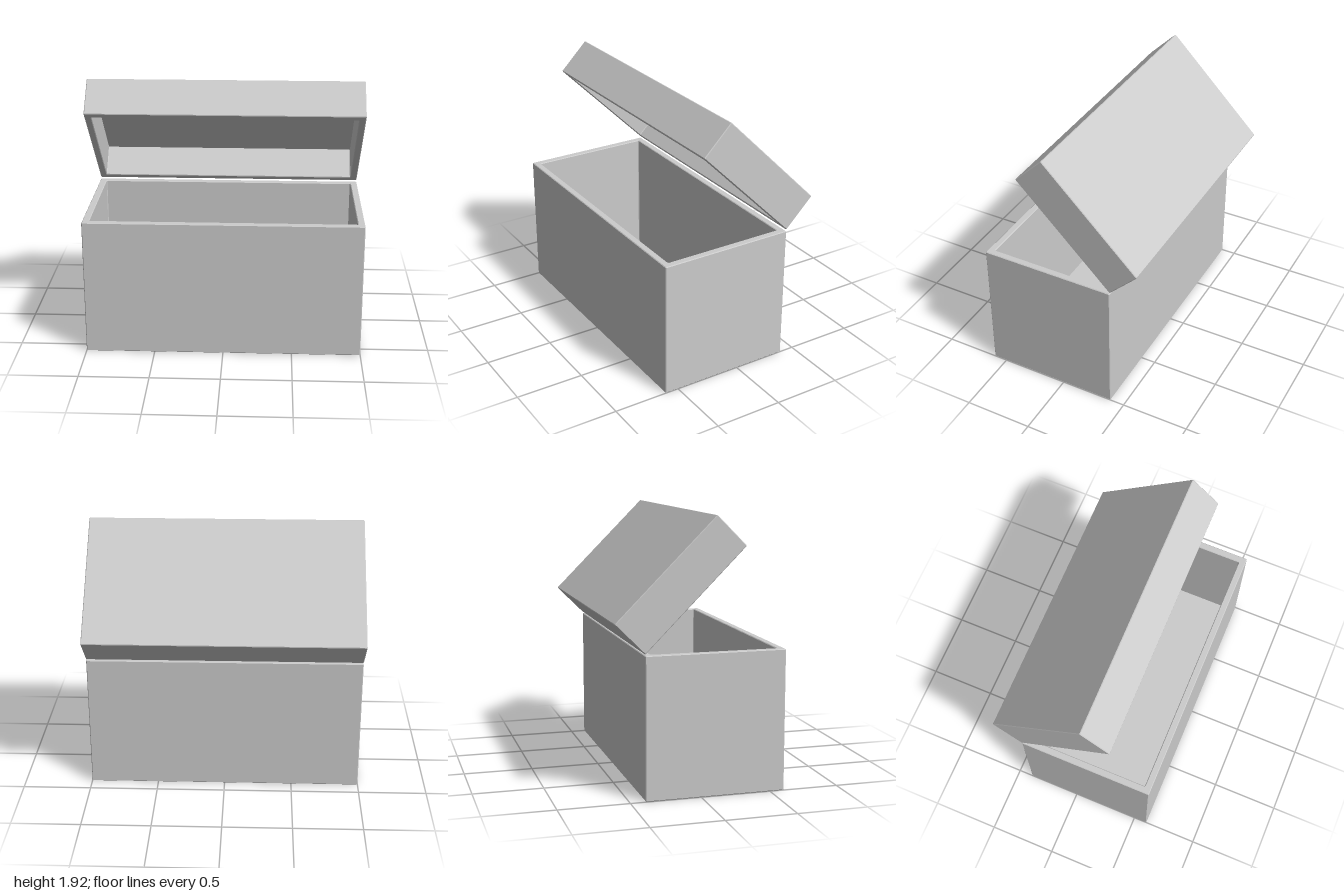
import * as THREE from 'three';

const WIDTH = 2, DEPTH = 0.995, WALL = 0.05, BEVEL = 0.005;
const material = new THREE.MeshStandardMaterial({ color: 0xcccccc });

// Rectangle with slightly clipped corners
function rectPoints(w, d) {
  const x = w / 2, y = d / 2, c = BEVEL;
  return [
    [x, c - y], [x, y - c], [x - c, y], [c - x, y],
    [-x, y - c], [-x, c - y], [c - x, -y], [x - c, -y],
  ].map(([px, py]) => new THREE.Vector2(px, py));
}

// Open-topped box standing on y = 0: a ring of walls plus a closing panel
function tray(name, height, panelName) {
  const group = new THREE.Group();
  group.name = name;
  const innerW = WIDTH - 2 * WALL, innerD = DEPTH - 2 * WALL;

  const ring = new THREE.Shape(rectPoints(WIDTH, DEPTH));
  ring.holes.push(new THREE.Path(rectPoints(innerW, innerD).reverse()));
  const wallGeometry = new THREE.ExtrudeGeometry(ring, {
    depth: height - 2 * BEVEL,
    bevelThickness: BEVEL,
    bevelSize: BEVEL,
    bevelOffset: -BEVEL,
    bevelSegments: 1,
  });
  wallGeometry.translate(0, 0, BEVEL).rotateX(-Math.PI / 2);
  const walls = new THREE.Mesh(wallGeometry, material);
  walls.name = name + 'Walls';

  const panel = new THREE.Mesh(
    new THREE.BoxGeometry(innerW + 2 * BEVEL, WALL, innerD + 2 * BEVEL), material);
  panel.position.y = WALL / 2;
  panel.name = panelName;

  group.add(walls, panel);
  return group;
}

export function createModel() {
  const model = new THREE.Group();
  model.name = 'openChest';

  // Chest body
  const body = tray('body', 1, 'bodyFloor');
  body.position.z = 0.1045;

  // Lid: a shallow tray turned over and propped open at 45 degrees on the back edge
  const lid = tray('lid', 0.295, 'lidTop');
  lid.rotation.x = THREE.MathUtils.degToRad(135);
  lid.position.set(0, 1.57, -0.25);

  model.add(body, lid);
  return model;
}
